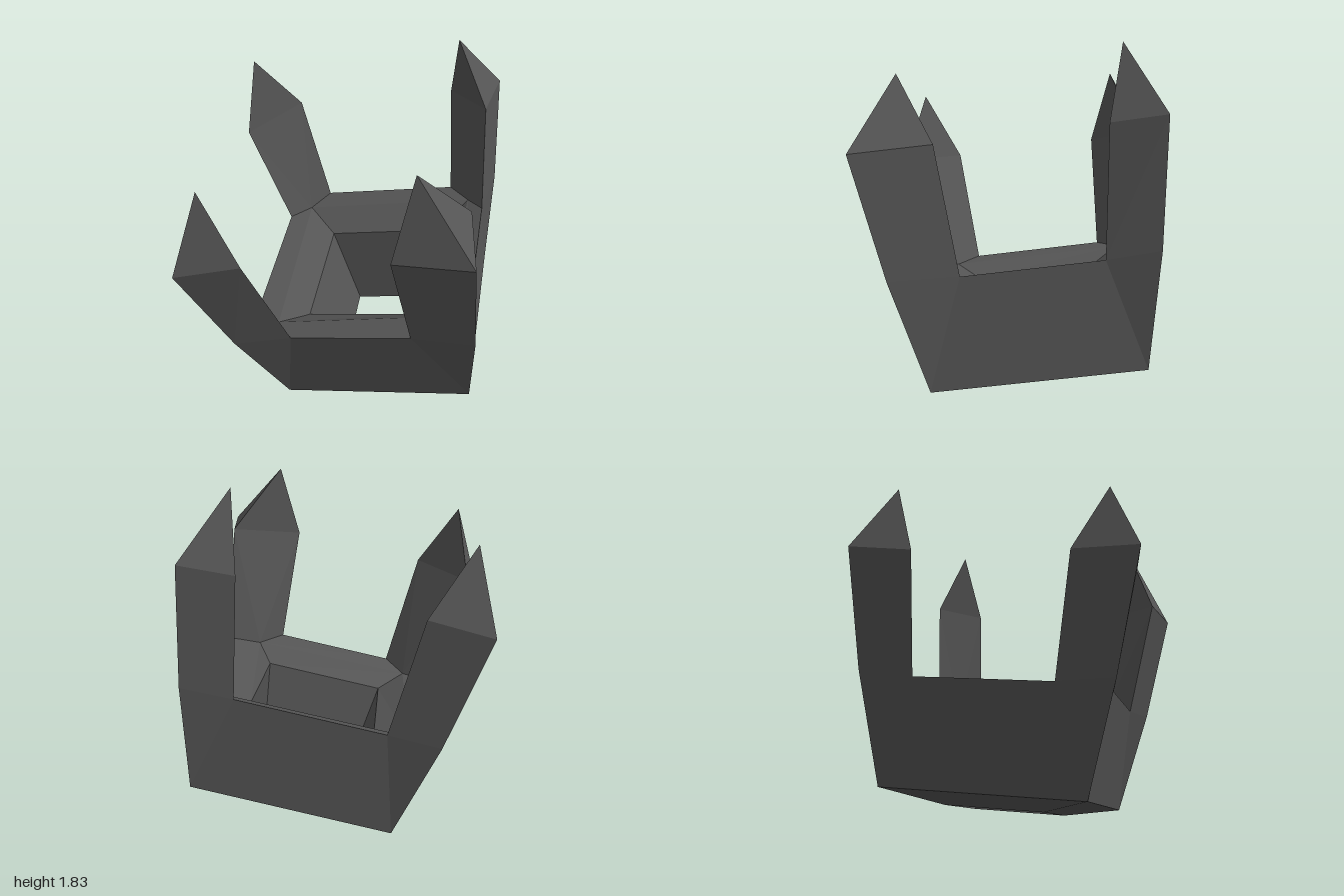
import * as THREE from 'three';

const metal = new THREE.MeshStandardMaterial({ color: 0x555555 });
metal.name = 'darkGrey';

// Flat-shaded mesh from polygons, each fanned from its first corner
function facetMesh(name, polygons) {
  const pos = [];
  for (const p of polygons) {
    for (let k = 1; k < p.length - 1; k++) pos.push(...p[0], ...p[k], ...p[k + 1]);
  }
  const g = new THREE.BufferGeometry();
  g.setAttribute('position', new THREE.Float32BufferAttribute(pos, 3));
  g.computeVertexNormals();
  const mesh = new THREE.Mesh(g, metal);
  mesh.name = name;
  return mesh;
}

// Point near corner i: distances from the centre along the two side axes, then height
function cornerPoint(i, a, b, h) {
  let x = -a, z = b;
  for (let k = 0; k < i; k++) [x, z] = [z, -x];
  return [x, h, z];
}

// Half width left open beside each prong, and half spread of its shoulders
const prongs = [
  { root: 0.336, shoulder: 0.385, tip: 0.53 },
  { root: 0.30, shoulder: 0.335, tip: 0.495 },
  { root: 0.375, shoulder: 0.46, tip: 0.567 },
  { root: 0.37, shoulder: 0.41, tip: 0.56 },
];

function cornerSet(i) {
  const { root, shoulder, tip } = prongs[i];
  const at = (a, b, h) => cornerPoint(i, a, b, h);
  const inset = tip - 0.085;
  return {
    foot: at(0.513, 0.513, 0),
    hole: at(0.253, 0.253, -0.057),
    rim: at(0.32, 0.32, 0.43),
    inner: at(inset, inset, 0.51),
    bend: at(0.63, 0.63, 0.552),
    rootNext: at(root, 0.575, 0.535),
    rootPrev: at(0.575, root, 0.535),
    outer: at(0.72, 0.72, 1.148),
    sideNext: at(shoulder, 0.665, 1.148),
    sidePrev: at(0.665, shoulder, 1.148),
    tip: at(tip, tip, 1.51),
  };
}

export function createModel() {
  const model = new THREE.Group();
  model.name = 'prongSetting';
  const crown = new THREE.Group();
  crown.name = 'tiltedCrown';
  // Turned about its axis, then leaning to one side
  crown.rotation.set(0, -0.566, 0.244, 'ZYX');
  crown.position.set(0.265, 0.17, 0);
  model.add(crown);

  const corners = prongs.map((_, i) => cornerSet(i));
  corners.forEach((c, i) => {
    const d = corners[(i + 1) % 4];
    // Wall segment: outside, sloping ledge, hole lining and underside
    crown.add(facetMesh('wall' + (i + 1), [
      [c.foot, d.foot, d.rootPrev, c.rootNext],
      [c.foot, c.rootNext, c.bend],
      [d.foot, d.bend, d.rootPrev],
      [c.rootNext, d.rootPrev, d.inner, c.inner],
      [c.inner, d.inner, d.rim, c.rim],
      [c.rim, d.rim, d.hole, c.hole],
      [c.hole, d.hole, d.foot, c.foot],
    ]));
    // Prong: two outer faces, folded inner face and pointed tip
    crown.add(facetMesh('prong' + (i + 1), [
      [c.bend, c.rootNext, c.sideNext, c.outer],
      [c.rootPrev, c.bend, c.outer, c.sidePrev],
      [c.inner, c.rootPrev, c.sidePrev, c.sideNext, c.rootNext],
      [c.outer, c.sideNext, c.tip],
      [c.sidePrev, c.outer, c.tip],
      [c.sideNext, c.sidePrev, c.tip],
    ]));
  });
  return model;
}
